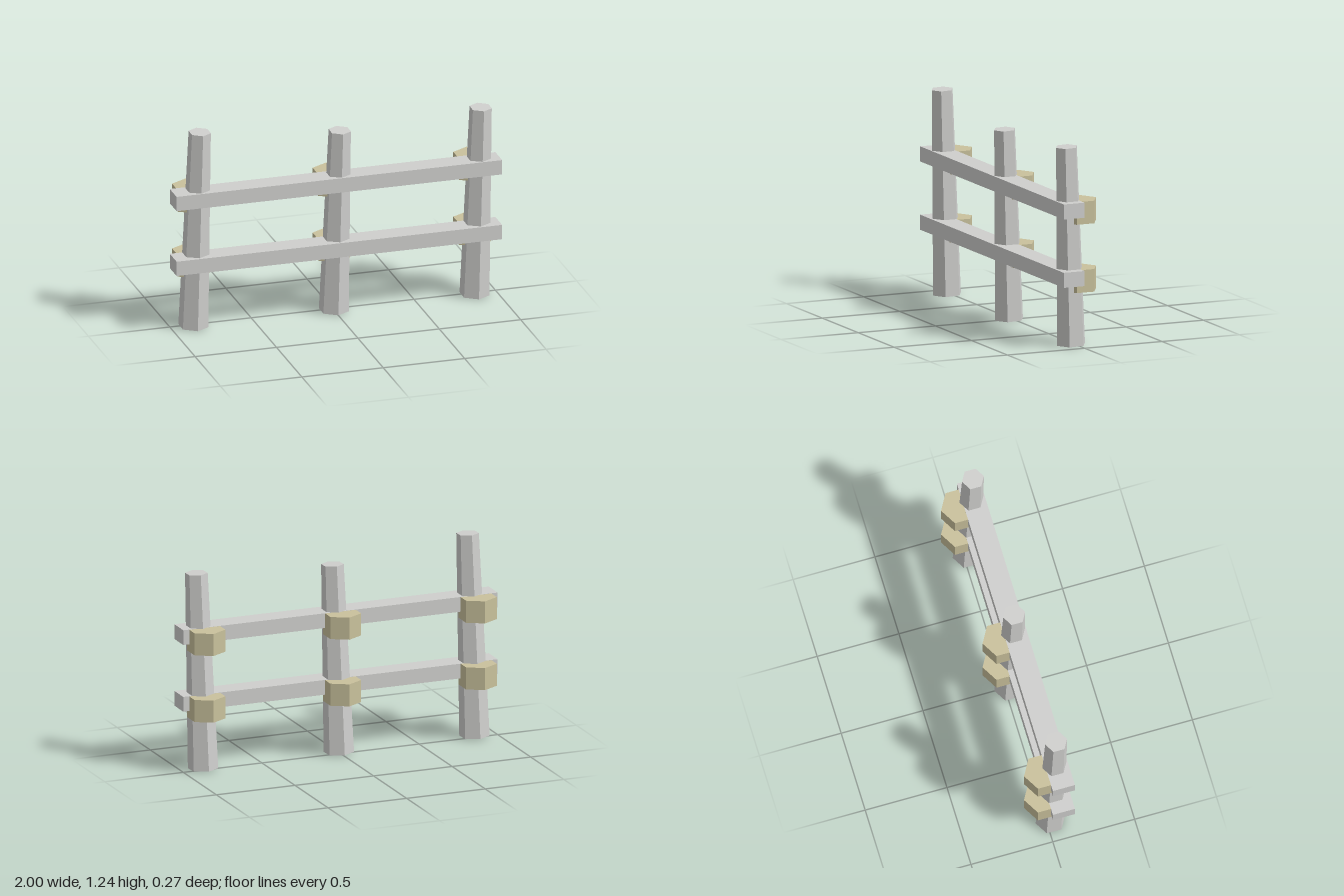
import * as THREE from 'three';

export function createModel() {
  const model = new THREE.Group();
  model.name = 'fence';

  const greyWood = new THREE.MeshStandardMaterial({ color: 0xcfcfcd });
  greyWood.name = 'grey wood';
  const tanRope = new THREE.MeshStandardMaterial({ color: 0xc9c19c });
  tanRope.name = 'tan rope';
  greyWood.flatShading = tanRope.flatShading = true;

  const add = (name, geometry, material, x, y, z) => {
    const mesh = new THREE.Mesh(geometry, material);
    mesh.name = name;
    mesh.position.set(x, y, z);
    model.add(mesh);
    return mesh;
  };

  const railTops = [0.462, 0.87];
  const posts = [
    { name: 'right', x: -0.863, height: 1.232 },
    { name: 'middle', x: 0, height: 1.142 },
    { name: 'left', x: 0.864, height: 1.188 },
  ];

  for (const { name, x, height } of posts) {
    // Tapered six-sided post, leaning a little forwards and sideways
    const post = new THREE.CylinderGeometry(0.067, 0.09, height, 6);
    post.translate(0, height / 2, 0);
    add(name + 'Post', post, greyWood, x, 0.004, 0.025).rotation.set(0.035, 0, -0.021);

    // Hexagonal lashings that tie the rails to the post
    for (const top of railTops) {
      const lashing = new THREE.CylinderGeometry(0.113, 0.113, 0.135, 6);
      add(name + 'Lashing', lashing, tanRope, x, top - 0.0685, -0.023);
    }
  }

  // Horizontal rails
  for (const top of railTops) {
    add('rail', new THREE.BoxGeometry(2, 0.09, 0.135), greyWood, 0, top - 0.045, 0.068);
  }

  return model;
}
